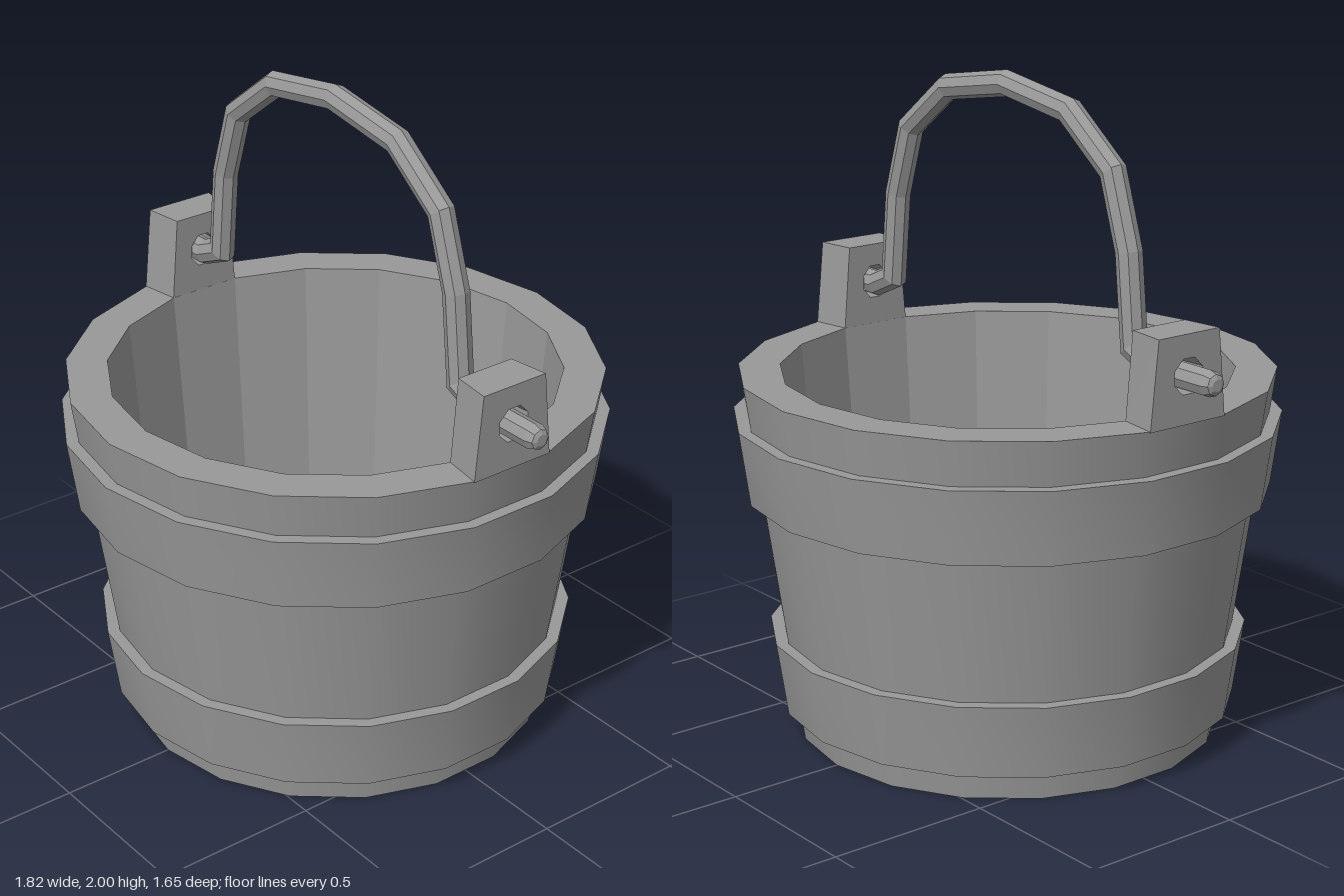
import * as THREE from 'three';
import { toCreasedNormals } from 'three/addons/utils/BufferGeometryUtils.js';

const SIDES = 18;
const material = new THREE.MeshStandardMaterial({ color: 0x999999 });
const flatMaterial = new THREE.MeshStandardMaterial({ color: 0x999999, flatShading: true });

function addMesh(parent, name, geometry, mat) {
  const mesh = new THREE.Mesh(geometry, mat);
  mesh.name = name;
  parent.add(mesh);
  return mesh;
}

// Turned part from [radius, height] pairs, with sharp profile corners
function turned(points) {
  const profile = points.map(([r, y]) => new THREE.Vector2(r, y));
  return toCreasedNormals(new THREE.LatheGeometry(profile, SIDES), 0.5);
}

// Radius of the tapered outer wall at height y
const wallRadius = (y) => 0.645 + (0.16 * y) / 1.115;

// Raised hoop around the wall
function hoop(y0, r0, y1, r1) {
  return turned([[wallRadius(y0), y0], [r0, y0], [r1, y1], [wallRadius(y1), y1]]);
}

// Pierced lug standing on the rim: a trapezoid that widens outwards
function earGeometry() {
  const shape = new THREE.Shape();
  shape.moveTo(-0.138, 1.112);
  shape.lineTo(0.138, 1.112);
  shape.lineTo(0.112, 1.37);
  shape.lineTo(-0.112, 1.37);
  shape.closePath();
  const hole = new THREE.Path();
  for (let i = 0; i < 8; i++) {
    const a = -((i + 0.5) / 8) * Math.PI * 2;
    const x = 0.055 * Math.cos(a), y = 1.25 + 0.055 * Math.sin(a);
    if (i) hole.lineTo(x, y); else hole.moveTo(x, y);
  }
  hole.closePath();
  shape.holes.push(hole);
  const g = new THREE.ExtrudeGeometry(shape, { depth: 0.125, bevelEnabled: false });
  g.rotateY(Math.PI / 2);
  g.translate(0.67, 0, 0);
  const p = g.attributes.position;
  for (let i = 0; i < p.count; i++) {
    if (p.getX(i) < 0.7) p.setZ(i, p.getZ(i) * 0.86);
  }
  g.computeVertexNormals();
  return g;
}

// Eight-sided rod swept along a planar path with mitred corners
function rodGeometry(path, radii) {
  const n = 8, pos = [], index = [];
  path.forEach((p, i) => {
    const before = p.clone().sub(path[Math.max(i - 1, 0)]).normalize();
    const after = path[Math.min(i + 1, path.length - 1)].clone().sub(p).normalize();
    const t = before.clone().add(after).normalize();
    const mitre = 1 / Math.max(t.dot(i ? before : after), 0.5);
    for (let j = 0; j < n; j++) {
      const a = (j / n) * Math.PI * 2;
      const c = Math.cos(a) * radii[i] * mitre;
      pos.push(p.x - t.y * c, p.y + t.x * c, Math.sin(a) * radii[i]);
    }
  });
  const last = (path.length - 1) * n;
  for (let i = 0; i < path.length - 1; i++) {
    for (let j = 0; j < n; j++) {
      const a = i * n + j, b = i * n + ((j + 1) % n);
      index.push(a, b, a + n, b, b + n, a + n);
    }
  }
  // End caps
  for (let j = 1; j < n - 1; j++) {
    index.push(0, j + 1, j, last, last + j, last + j + 1);
  }
  const g = new THREE.BufferGeometry();
  g.setAttribute('position', new THREE.Float32BufferAttribute(pos, 3));
  g.setIndex(index);
  g.computeVertexNormals();
  return g;
}

export function createModel() {
  const bucket = new THREE.Group();
  bucket.name = 'bucket';

  // Tub
  const tub = new THREE.Group();
  tub.name = 'tub';
  bucket.add(tub);
  addMesh(tub, 'base', turned([[0, 0], [0.645, 0]]), flatMaterial);
  addMesh(tub, 'outerWall', turned([[0.645, 0], [0.805, 1.115]]), material);
  addMesh(tub, 'rim', turned([[0.805, 1.115], [0.68, 1.115]]), flatMaterial);
  addMesh(tub, 'innerWall', turned([[0.68, 1.115], [0.603, 0.12]]), flatMaterial);
  addMesh(tub, 'floor', turned([[0.603, 0.12], [0, 0.12]]), flatMaterial);

  // Hoops
  addMesh(bucket, 'lowerHoop', hoop(0.086, 0.694, 0.312, 0.727), material);
  addMesh(bucket, 'upperHoop', hoop(0.755, 0.792, 0.98, 0.823), material);

  // Ears
  addMesh(bucket, 'leftEar', earGeometry(), flatMaterial);
  addMesh(bucket, 'rightEar', earGeometry(), flatMaterial).rotation.y = Math.PI;

  // Handle: half path mirrored about the centre, with rounded tips
  const half = [
    [0.91, 1.247, 0.018], [0.903, 1.247, 0.031], [0.88, 1.247, 0.039],
    [0.655, 1.247, 0.039], [0.568, 1.285, 0.039], [0.541, 1.553, 0.039],
    [0.47, 1.771, 0.039], [0.28, 1.916, 0.039],
  ];
  const points = [
    ...half.map(([x, y, r]) => [-x, y, r]),
    [0, 1.96, 0.039],
    ...half.slice().reverse(),
  ];
  const path = points.map(([x, y]) => new THREE.Vector2(x, y));
  addMesh(bucket, 'handle', rodGeometry(path, points.map((p) => p[2])), flatMaterial);

  return bucket;
}
